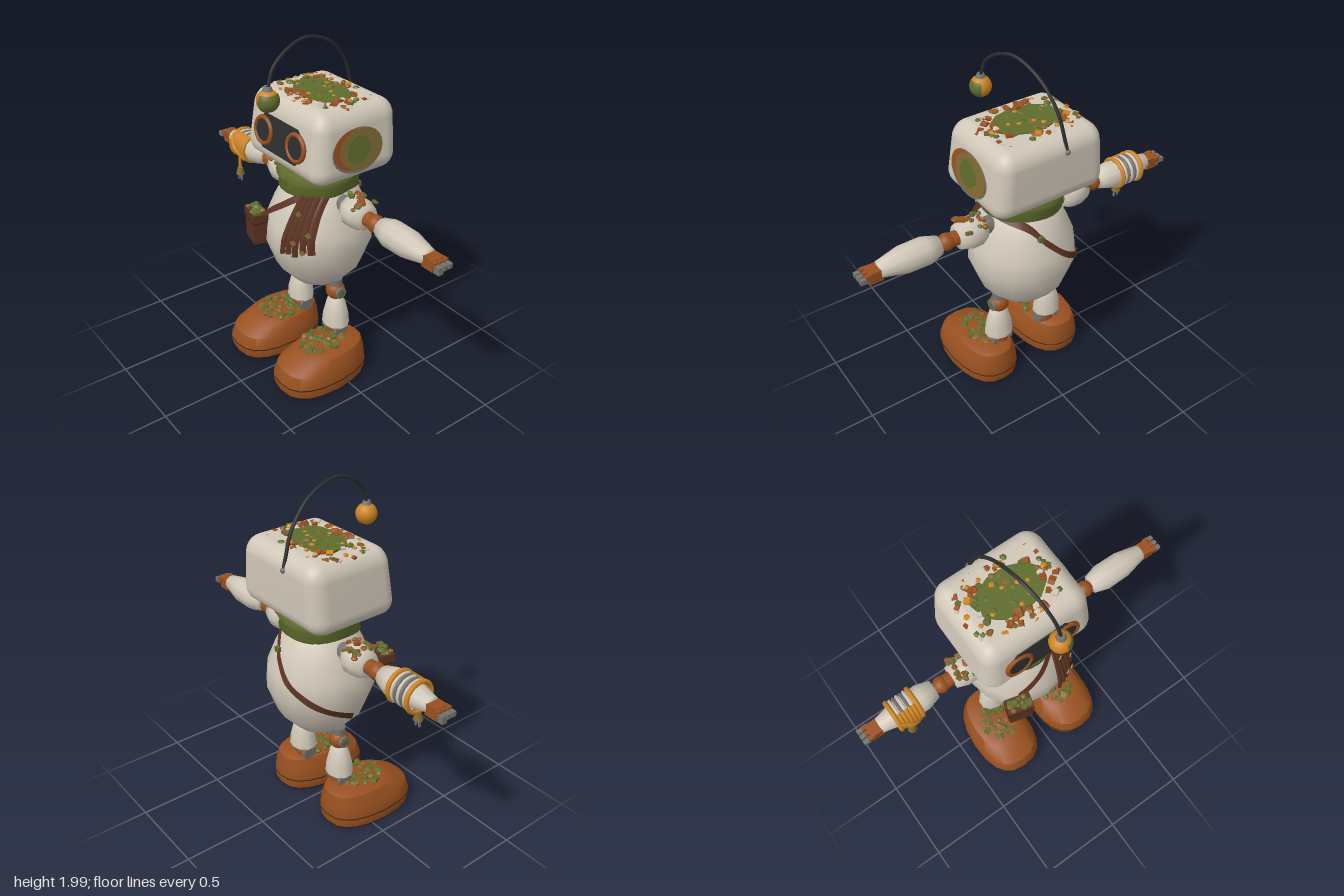
import * as THREE from 'three';
import { mergeVertices, mergeGeometries, toCreasedNormals } from 'three/addons/utils/BufferGeometryUtils.js';
import { RoundedBoxGeometry } from 'three/addons/geometries/RoundedBoxGeometry.js';

const PAINT = {
  shell: 0xd0c7b8, rust: 0x98501f, moss: 0x5f6c2c, brown: 0x5b3220, dark: 0x2c2d30,
  grey: 0x74736f, amber: 0xcd8522, olive: 0x806a34, sole: 0x3c2213,
};
const BODY_Z = -0.065;
const PROFILE = [[0, 0.55], [0.15, 0.55], [0.25, 0.66], [0.308, 0.82], [0.298, 0.94], [0.25, 1.06], [0.19, 1.18], [0.1, 1.22]];

export function createModel() {
  const root = new THREE.Group();
  root.name = 'robot';
  const M = {};
  for (const k in PAINT) {
    M[k] = new THREE.MeshStandardMaterial({ color: PAINT[k] });
    M[k].name = k;
  }
  M.brown.side = M.moss.side = THREE.DoubleSide;

  let seed = 7;
  const rnd = (a = 0, b = 1) => {
    seed = (seed * 16807) % 2147483647;
    return a + (b - a) * seed / 2147483647;
  };
  const add = (parent, name, geo, mat, x = 0, y = 0, z = 0) => {
    const m = new THREE.Mesh(geo, M[mat]);
    m.name = name;
    m.position.set(x, y, z);
    parent.add(m);
    return m;
  };
  const group = (parent, name, x = 0, y = 0, z = 0) => {
    const g = new THREE.Group();
    g.name = name;
    g.position.set(x, y, z);
    parent.add(g);
    return g;
  };
  const box = (w, h, d) => new THREE.BoxGeometry(w, h, d);
  const ball = r => new THREE.SphereGeometry(r, 16, 12);
  const lathe = (pts, n) => new THREE.LatheGeometry(pts.map(p => new THREE.Vector2(...p)), n);
  const alongX = geo => geo.rotateZ(-Math.PI / 2);
  const discX = (r, t, n = 24) => alongX(new THREE.CylinderGeometry(r, r, t, n));

  // Loose pebbles and leaves, merged into one mesh per colour
  const scatter = (parent, name, count, mats, place, size, flat = 0.6) => {
    const lists = {};
    for (let i = 0; i < count; i++) {
      const r = rnd(size * 0.7, size * 1.2);
      const g = i % 3 ? new THREE.DodecahedronGeometry(r) : box(r * 1.6, r * 1.6, r * 1.6).toNonIndexed();
      g.rotateX(rnd(0, 0.5)).rotateY(rnd(0, 6)).scale(1, flat, 1).translate(...place());
      const k = mats[Math.floor(rnd(0, mats.length - 0.001))];
      (lists[k] ||= []).push(g);
    }
    for (const k in lists) add(parent, name, mergeGeometries(lists[k]), k);
  };

  // Grid surface from rows of points
  const sheet = rows => {
    const n = rows[0].length, idx = [];
    for (let i = 0; i < rows.length - 1; i++) for (let j = 0; j < n - 1; j++) {
      const a = i * n + j;
      idx.push(a, a + n, a + 1, a + 1, a + n, a + n + 1);
    }
    const g = new THREE.BufferGeometry();
    g.setAttribute('position', new THREE.Float32BufferAttribute(rows.flat(2), 3));
    g.setIndex(idx);
    g.computeVertexNormals();
    return g;
  };
  const bodyRadius = y => {
    for (let i = 2; i < PROFILE.length; i++) {
      const [r0, y0] = PROFILE[i - 1], [r1, y1] = PROFILE[i];
      if (y <= y1) return r0 + (r1 - r0) * (y - y0) / (y1 - y0);
    }
    return 0.1;
  };
  const onBody = (a, y, lift) => {
    const r = bodyRadius(y) + lift;
    return [r * Math.sin(a), y, BODY_Z + r * Math.cos(a)];
  };

  // Body
  add(root, 'body', lathe(PROFILE, 16), 'shell', 0, 0, BODY_Z);

  // Shoulder strap, draped around the body
  const path = new THREE.SplineCurve([[-0.55, 0.96], [-0.1, 1.06], [0.55, 1.16], [1.5, 1.19], [2.6, 1.15],
    [3.1, 1.04], [3.5, 0.93], [4.1, 0.81], [4.75, 0.71]].map(p => new THREE.Vector2(...p))).getPoints(60);
  add(root, 'strap', sheet([-0.022, 0.022].map(d => path.map(p => onBody(p.x, p.y + d, 0.012)))), 'brown');
  add(root, 'strapBuckle', box(0.03, 0.03, 0.02), 'moss', ...onBody(2.95, 1.08, 0.015));

  // Satchel
  const bag = group(root, 'satchel', -0.185, 0.89, 0.235);
  bag.rotation.y = -0.25;
  add(bag, 'pouch', box(0.14, 0.18, 0.08), 'brown');
  add(bag, 'pouchFlap', box(0.15, 0.05, 0.09), 'brown', 0, 0.07, 0);
  add(bag, 'pouchSeam', box(0.15, 0.008, 0.092), 'sole', 0, 0.042, 0);
  scatter(bag, 'pouchMoss', 14, ['moss', 'moss', 'olive'], () => [rnd(-0.06, 0.06), rnd(0.09, 0.105), rnd(-0.035, 0.04)], 0.02);

  // Scarf collar, dipping at the front, and its fringed tail
  const collar = lathe([[0.14, 1.17], [0.195, 1.155], [0.225, 1.18], [0.213, 1.225], [0.236, 1.255], [0.205, 1.285], [0.08, 1.285]], 28);
  const cp = collar.attributes.position;
  for (let i = 0; i < cp.count; i++) {
    const a = Math.atan2(cp.getX(i), cp.getZ(i));
    cp.setY(i, cp.getY(i) - 0.028 * Math.max(0, Math.cos(a - 0.15)) + 0.006 * Math.sin(a * 3));
  }
  collar.computeVertexNormals();
  add(root, 'scarf', collar, 'moss', 0, 0, BODY_Z);
  for (let i = 0; i < 5; i++) {
    const end = 0.83 + 0.012 * Math.abs(i - 1) + (i % 2) * 0.02;
    const rows = [];
    for (let k = 0; k <= 8; k++) {
      const t = k / 8, y = 1.17 + (end - 1.17) * t, w = 0.021 + 0.015 * t;
      const x = 0.15 + (i - 2) * w + 0.012 * t;
      rows.push([-0.5, -0.2, 0.2, 0.5].map((f, j) => {
        const px = x + f * w * (t > 0.8 ? 0.85 : 1.05), r = bodyRadius(y) + 0.02;
        return [px, y, BODY_Z + Math.sqrt(Math.max(0.003, r * r - px * px)) + (j % 3 ? 0.014 : 0)];
      }));
    }
    add(root, 'scarfTail', sheet(rows), 'brown');
  }
  for (const [a, y] of [[0.52, 1.08], [0.75, 0.98], [0.5, 0.93], [0.66, 0.88]]) {
    const patch = add(root, 'scarfPatch', box(0.025, 0.025, 0.008), 'olive', ...onBody(a, y, 0.038));
    patch.rotation.set(0, a, 0.6);
  }

  // Head: rounded box narrowing towards the top
  const head = group(root, 'head', -0.005, 1.485, -0.075);
  let skull = new RoundedBoxGeometry(0.7, 0.39, 0.56, 4, 0.095);
  const hp = skull.attributes.position;
  for (let i = 0; i < hp.count; i++) {
    const t = (hp.getY(i) + 0.195) / 0.39, z = hp.getZ(i);
    hp.setX(i, hp.getX(i) * (1 - 0.11 * t));
    if (z > 0) hp.setZ(i, z * (1 - 0.16 * t));
  }
  skull.deleteAttribute('normal');
  skull.deleteAttribute('uv');
  skull = mergeVertices(skull, 1e-4);
  skull.computeVertexNormals();
  add(head, 'skull', skull, 'shell');

  // Visor with two goggle eyes
  const face = group(head, 'face', 0, -0.01, 0.259);
  face.rotation.x = -0.115;
  const c = 0.03, w = 0.175, h = 0.098;
  const visor = new THREE.Shape([[-w + c, -h], [w - c, -h], [w, -h + c], [w, h - c], [w - c, h], [-w + c, h], [-w, h - c], [-w, -h + c]]
    .map(p => new THREE.Vector2(...p)));
  add(face, 'visor', new THREE.ExtrudeGeometry(visor, { depth: 0.008, bevelEnabled: false }), 'dark');
  for (const s of [-1, 1]) {
    add(face, 'eyeRim', new THREE.TorusGeometry(0.071, 0.013, 8, 28), 'rust', s * 0.145, 0, 0.008);
    add(face, 'eyeLens', new THREE.CylinderGeometry(0.06, 0.07, 0.02, 24).rotateX(Math.PI / 2), 'dark', s * 0.145, 0, 0.004);
  }

  // Worn round patch on the left side of the head
  const ear = group(head, 'sidePatch', 0.332, -0.02, 0.01);
  ear.rotation.z = 0.105;
  [['grey', 0.165, 0.122, 0, 0], ['rust', 0.135, 0.11, 0.024, 0.008], ['olive', 0.138, 0.113, -0.02, 0.004], ['moss', 0.075, 0.075, -0.002, 0.004]]
    .forEach(([mat, rz, ry, z, y], i) => {
      add(ear, 'patchLayer', discX(1, 0.008), mat, i * 0.002, y, z).scale.set(1, ry, rz);
    });

  // Moss and fallen leaves on top of the head
  add(head, 'mossBed', new THREE.CylinderGeometry(1, 1, 0.008, 11), 'moss', 0, 0.197, -0.01).scale.set(0.2, 1, 0.13);
  const topSpot = (lo, hi) => () => {
    const a = rnd(0, Math.PI * 2), r = rnd(lo, hi);
    const k = 1 / Math.pow(Math.abs(Math.cos(a)) ** 4 + Math.abs(Math.sin(a)) ** 4, 0.25);
    return [0.275 * r * k * Math.cos(a), 0.2 - Math.max(0, r - 0.8) * 0.12, -0.015 + 0.195 * r * k * Math.sin(a)];
  };
  scatter(head, 'headLeaves', 95, ['rust', 'rust', 'amber', 'shell', 'moss', 'rust'], topSpot(0.6, 1), 0.018);
  scatter(head, 'headMoss', 26, ['moss', 'moss', 'olive', 'amber'], topSpot(0.05, 0.65), 0.016, 0.4);

  // Antenna arching from the back to a lamp in front
  const arc = new THREE.CatmullRomCurve3([[-0.075, 1.6, -0.352], [-0.07, 1.67, -0.33], [-0.06, 1.79, -0.285], [-0.04, 1.92, -0.17],
    [-0.015, 1.985, 0.01], [0.005, 1.955, 0.14], [0.02, 1.88, 0.24], [0.028, 1.78, 0.28]].map(p => new THREE.Vector3(...p)));
  add(root, 'antenna', new THREE.TubeGeometry(arc, 40, 0.0095, 8), 'dark');
  add(root, 'antennaMount', ball(0.016), 'grey', -0.075, 1.6, -0.352);
  const lamp = group(root, 'lamp', 0.027, 1.722, 0.28);
  add(lamp, 'lampBulb', ball(0.06), 'amber');
  add(lamp, 'lampMoss', new THREE.SphereGeometry(0.062, 16, 10, 1.6, 2.6, 0.9, 1.7), 'moss');
  add(lamp, 'lampCap', new THREE.CylinderGeometry(0.02, 0.03, 0.025, 12), 'grey', 0, 0.06, 0);

  // Arms, held straight out
  for (const s of [1, -1]) {
    const arm = group(root, s > 0 ? 'leftArm' : 'rightArm', 0, 1.1, -0.07);
    arm.rotation.y = s > 0 ? 0 : Math.PI;
    add(arm, 'shoulderJoint', discX(0.05, 0.14, 12), 'grey', 0.22);
    add(arm, 'shoulderGuard', alongX(lathe([[0, 0.25], [0.065, 0.255], [0.09, 0.3], [0.09, 0.36], [0.068, 0.42], [0, 0.42]], 10)), 'shell');
    add(arm, 'upperArmEnd', discX(0.042, 0.05, 12), 'rust', 0.435);
    scatter(arm, 'shoulderLeaves', 26, ['rust', 'rust', 'moss', 'olive'], () => {
      const z = rnd(-0.08, 0.08);
      return [rnd(0.275, 0.41), 0.095 - z * z * 6, z];
    }, 0.016, 0.7);
    add(arm, 'elbow', ball(0.049), 'rust', 0.485);
    add(arm, 'forearm', alongX(lathe([[0, 0.525], [0.055, 0.53], [0.08, 0.61], [0.078, 0.74], [0.046, 0.88], [0, 0.885]], 10)), 'shell');
    add(arm, 'palm', box(0.075, 0.065, 0.08), 'rust', 0.91, -0.01, 0);
    for (const z of [-0.034, 0, 0.034]) {
      add(arm, 'fingerBase', box(0.035, 0.03, 0.024), 'rust', 0.95, 0.005, z);
      add(arm, 'fingerTip', box(0.04, 0.028, 0.024), 'grey', 0.978, -0.006, z);
    }
    add(arm, 'thumb', box(0.05, 0.025, 0.03), 'grey', 0.955, -0.04, 0.01);
  }

  // Cable wound around the right forearm, with a hanging plug
  const cable = group(root, 'cable', 0, 1.1, -0.07);
  const ringX = (r, t, arcLen = Math.PI * 2) => new THREE.TorusGeometry(r, t, 8, 24, arcLen).rotateY(Math.PI / 2);
  for (const x of [-0.79, -0.655]) add(cable, 'cableEnd', ringX(0.084, 0.013), 'amber', x);
  for (let i = 0; i < 5; i++) {
    const x = -0.767 + i * 0.022;
    add(cable, 'cableFront', ringX(0.082, 0.012, 2.9), 'amber', x).rotation.x = Math.PI / 2 + 0.35;
    add(cable, 'cableBack', ringX(0.08, 0.009, 3.4), i % 2 ? 'grey' : 'shell', x).rotation.x = -Math.PI / 2 + 0.2;
  }
  add(cable, 'cableCross', new THREE.TubeGeometry(new THREE.CatmullRomCurve3([new THREE.Vector3(-0.79, 0.05, 0.075),
    new THREE.Vector3(-0.72, 0, 0.1), new THREE.Vector3(-0.66, -0.06, 0.07)]), 12, 0.012, 8), 'amber');
  add(cable, 'cableDrop', new THREE.CylinderGeometry(0.01, 0.01, 0.11, 8), 'amber', -0.735, -0.105, 0.06);
  add(cable, 'plug', new THREE.CylinderGeometry(0.016, 0.028, 0.045, 8), 'olive', -0.735, -0.165, 0.06);
  for (const d of [-0.013, 0.013]) add(cable, 'plugProng', box(0.008, 0.045, 0.012), 'grey', -0.735 + d, -0.205, 0.06);

  // Shoe outline at each level: [y, half width, back z, front z]
  const shoeLoft = levels => sheet(levels.map(([y, hw, zb, zf]) => {
    const ring = [];
    for (let i = 0; i <= 20; i++) {
      const a = i / 20 * Math.PI * 2, co = Math.cos(a), si = Math.sin(a), e = 0.78;
      const px = Math.sign(co) * Math.abs(co) ** e, pz = Math.sign(si) * Math.abs(si) ** e;
      ring.push([hw * px * (1 + 0.1 * Math.min(0, pz)), y, (zf + zb) / 2 + (zf - zb) / 2 * pz]);
    }
    return ring;
  }));
  const upper = toCreasedNormals(shoeLoft([[0.01, 0.186, -0.2, 0.362], [0.06, 0.193, -0.208, 0.373], [0.14, 0.178, -0.2, 0.345],
    [0.205, 0.142, -0.185, 0.235], [0.222, 0.1, -0.15, 0.18], [0.225, 0.001, 0, 0.002]]), 0.6);
  const sole = toCreasedNormals(shoeLoft([[0, 0.001, 0.08, 0.082], [0, 0.18, -0.195, 0.355], [0.01, 0.186, -0.2, 0.362]]), 0.6);
  const seam = shoeLoft([[0.066, 0.194, -0.21, 0.374], [0.073, 0.193, -0.21, 0.372]]);

  // Legs and shoes
  for (const s of [1, -1]) {
    const leg = group(root, s > 0 ? 'leftLeg' : 'rightLeg', -0.008 + s * 0.168, 0, -0.07);
    add(leg, 'hipSocket', new THREE.CylinderGeometry(0.04, 0.04, 0.06, 12), 'grey', 0, 0.56, 0);
    add(leg, 'knee', ball(0.057), 'rust', 0, 0.507, 0);
    add(leg, 'kneeCap', discX(0.035, 0.02, 14), 'grey', s * 0.048, 0.507, 0);
    add(leg, 'kneeMoss', discX(0.022, 0.008, 8), 'moss', s * 0.058, 0.507, 0);
    const shin = add(leg, 'shin', toCreasedNormals(lathe([[0, 0.29], [0.075, 0.27], [0.088, 0.285], [0.082, 0.35], [0.06, 0.435], [0.045, 0.455], [0, 0.455]], 10), 0.7), 'shell', s * 0.006);
    shin.scale.z = 0.86;
    add(leg, 'ankle', new THREE.CylinderGeometry(0.045, 0.05, 0.1, 12), 'rust', 0, 0.25, 0);
    for (const d of [-1, 1]) add(leg, 'ankleDisc', discX(0.045, 0.02, 14), 'grey', d * 0.055, 0.245, 0);

    const shoe = group(root, s > 0 ? 'leftShoe' : 'rightShoe', -0.01 + s * 0.228, 0, 0);
    add(shoe, 'shoeUpper', upper, 'rust');
    add(shoe, 'shoeSole', sole, 'sole');
    add(shoe, 'shoeSeam', seam, 'sole');
    scatter(shoe, 'shoeMoss', 46, ['moss', 'moss', 'moss', 'olive'], () => {
      const a = rnd(0, 6.28), r = Math.sqrt(rnd());
      return [0.11 * r * Math.cos(a) - s * 0.02, 0.222, 0.06 + 0.13 * r * Math.sin(a)];
    }, 0.02, 0.7);
  }
  return root;
}
